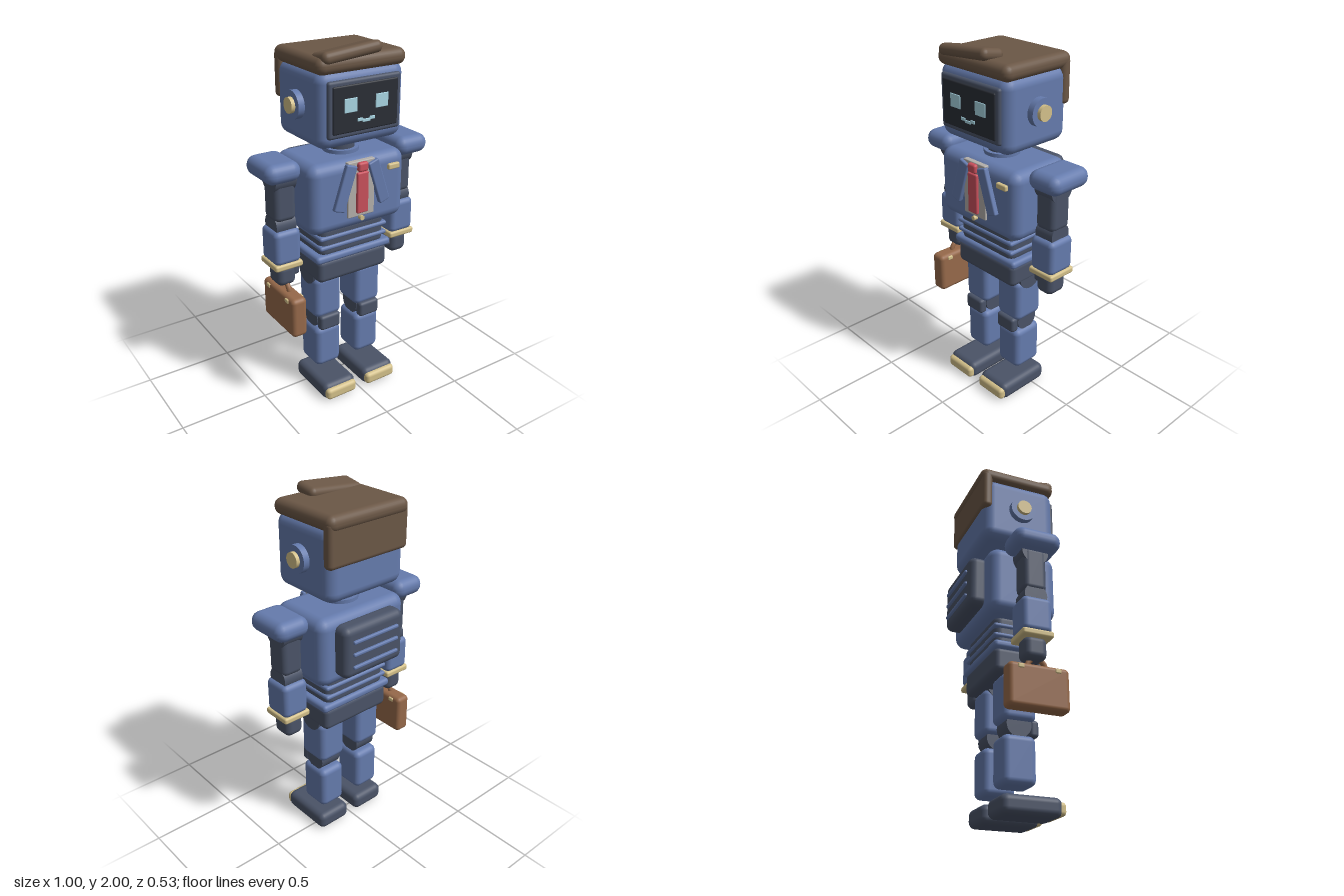
import * as THREE from 'three';
import { RoundedBoxGeometry } from 'three/addons/geometries/RoundedBoxGeometry.js';

const material = (color) => new THREE.MeshStandardMaterial({ color });
const BLUE = material(0x657bad), DARK = material(0x4a5367), GOLD = material(0xd3c08a);
const HAIR = material(0x6b5746), LEATHER = material(0x96694a), RED = material(0xc9505c);
const SCREEN = material(0x2a2e36), GLOW = material(0xa9d6e4), SHIRT = material(0xb3afab);

const CZ = 0.025; // depth of the body axis

// Rounded box given by its size and centre
function box(parent, name, mat, [w, h, d], [x, y, z], r = 0.03) {
  const radius = Math.min(r, Math.min(w, h, d) * 0.48);
  const mesh = new THREE.Mesh(new RoundedBoxGeometry(w, h, d, 3, radius), mat);
  mesh.name = name;
  mesh.position.set(x, y, z);
  parent.add(mesh);
  return mesh;
}

// Cylinder along the given axis
function cylinder(parent, name, mat, r, length, [x, y, z], axis = 'y') {
  const geo = new THREE.CylinderGeometry(r, r, length, 32);
  if (axis === 'x') geo.rotateZ(Math.PI / 2);
  if (axis === 'z') geo.rotateX(Math.PI / 2);
  const mesh = new THREE.Mesh(geo, mat);
  mesh.name = name;
  mesh.position.set(x, y, z);
  parent.add(mesh);
  return mesh;
}

function group(parent, name) {
  const g = new THREE.Group();
  g.name = name;
  parent.add(g);
  return g;
}

function buildHead(root) {
  const head = group(root, 'head');
  box(head, 'skull', BLUE, [0.51, 0.39, 0.425], [0, 1.69, 0.022], 0.06);

  // Face
  box(head, 'bezel', DARK, [0.43, 0.285, 0.04], [0, 1.697, 0.229], 0.015);
  box(head, 'screen', SCREEN, [0.385, 0.237, 0.02], [0, 1.697, 0.246], 0.008);
  for (const s of [-1, 1]) {
    box(head, 'eye', GLOW, [0.075, 0.07, 0.01], [s * 0.092, 1.716, 0.255], 0.003);
    box(head, 'mouthCorner', GLOW, [0.032, 0.017, 0.01], [s * 0.036, 1.637, 0.255], 0.003);
  }
  box(head, 'mouthMiddle', GLOW, [0.045, 0.016, 0.01], [0, 1.629, 0.255], 0.003);

  // Ears
  for (const s of [-1, 1]) {
    cylinder(head, 'earDisc', BLUE, 0.073, 0.06, [s * 0.26, 1.695, 0.027], 'x');
    cylinder(head, 'earCap', GOLD, 0.041, 0.04, [s * 0.29, 1.695, 0.027], 'x');
  }

  // Hair
  box(head, 'hairTop', HAIR, [0.52, 0.085, 0.45], [0, 1.908, 0.015], 0.04);
  box(head, 'hairBack', HAIR, [0.52, 0.24, 0.06], [0, 1.805, -0.172], 0.025);
  const quiff = box(head, 'quiff', HAIR, [0.345, 0.062, 0.14], [-0.063, 1.952, 0.178], 0.03);
  quiff.rotation.set(-0.18, 0, 0.09);

  // Neck
  cylinder(root, 'neck', DARK, 0.075, 0.14, [0, 1.46, 0.027]);
  cylinder(root, 'neckCollar', BLUE, 0.097, 0.05, [0, 1.41, 0.027]);
}

function buildTorso(root) {
  const torso = group(root, 'torso');
  box(torso, 'chest', BLUE, [0.59, 0.385, 0.385], [0, 1.2225, 0.0225], 0.06);

  // Shirt, lapels and tie
  box(torso, 'shirtFront', SHIRT, [0.165, 0.305, 0.03], [0, 1.255, 0.21], 0.005);
  for (const s of [-1, 1]) {
    const lapel = box(torso, 'lapel', BLUE, [0.066, 0.25, 0.03], [s * 0.104, 1.277, 0.226], 0.008);
    lapel.rotation.z = s * 0.32;
  }
  box(torso, 'tie', RED, [0.07, 0.225, 0.02], [0, 1.237, 0.232], 0.008);
  box(torso, 'tieKnot', RED, [0.06, 0.05, 0.03], [0, 1.378, 0.232], 0.012);
  cylinder(torso, 'button', GOLD, 0.013, 0.03, [0, 1.093, 0.223], 'z');
  box(torso, 'badge', GOLD, [0.072, 0.032, 0.025], [0.205, 1.337, 0.22], 0.008);

  // Backpack with slats
  box(torso, 'backpack', DARK, [0.41, 0.29, 0.11], [0, 1.235, -0.197], 0.04);
  for (const y of [1.3, 1.23, 1.157])
    box(torso, 'slat', BLUE, [0.31, 0.02, 0.025], [0, y, -0.253], 0.008);

  // Waist and pelvis
  box(torso, 'waist', DARK, [0.41, 0.19, 0.265], [0, 0.96, CZ], 0.04);
  for (const y of [0.985, 0.93])
    box(torso, 'waistRing', BLUE, [0.43, 0.025, 0.285], [0, y, CZ], 0.012);
  box(torso, 'belt', BLUE, [0.48, 0.045, 0.3], [0, 0.868, CZ], 0.02);
  box(torso, 'pelvis', DARK, [0.445, 0.135, 0.28], [0, 0.79, CZ], 0.03);
}

function buildArm(root, s) {
  const arm = group(root, s > 0 ? 'leftArm' : 'rightArm');
  const x = s * 0.37;
  box(arm, 'shoulderPad', BLUE, [0.2, 0.105, 0.265], [s * 0.4, 1.388, 0.022], 0.05);
  cylinder(arm, 'shoulderJoint', DARK, 0.075, 0.12, [x, 1.335, CZ], 'x');
  box(arm, 'upperArm', DARK, [0.125, 0.25, 0.13], [x, 1.23, CZ], 0.03);
  cylinder(arm, 'elbow', DARK, 0.063, 0.115, [x, 1.078, CZ], 'x');
  box(arm, 'forearm', BLUE, [0.155, 0.195, 0.165], [x, 0.963, CZ], 0.03);
  box(arm, 'cuff', GOLD, [0.165, 0.036, 0.172], [x, 0.857, CZ], 0.012);
  box(arm, 'hand', DARK, [0.11, 0.125, 0.125], [x, 0.79, CZ], 0.035);
  box(arm, 'thumb', DARK, [0.045, 0.07, 0.05], [s * 0.307, 0.806, 0.045], 0.018);
}

function buildLeg(root, s) {
  const leg = group(root, s > 0 ? 'leftLeg' : 'rightLeg');
  const x = s * 0.132;
  cylinder(leg, 'hipJoint', DARK, 0.075, 0.178, [x, 0.75, CZ], 'x');
  box(leg, 'thigh', BLUE, [0.17, 0.255, 0.186], [x, 0.602, CZ], 0.035);
  cylinder(leg, 'knee', DARK, 0.068, 0.13, [x, 0.46, CZ], 'x');
  box(leg, 'kneePad', DARK, [0.13, 0.09, 0.05], [x, 0.447, 0.112], 0.018);
  box(leg, 'shin', BLUE, [0.162, 0.255, 0.182], [x, 0.278, CZ], 0.035);
  box(leg, 'shoe', DARK, [0.21, 0.1, 0.325], [x + s * 0.002, 0.055, 0.078], 0.035);
  box(leg, 'toeCap', GOLD, [0.195, 0.07, 0.05], [x + s * 0.002, 0.05, 0.236], 0.022);
}

function buildBriefcase(root) {
  const bag = group(root, 'briefcase');
  const x = -0.37, z = 0.043;
  box(bag, 'case', LEATHER, [0.09, 0.23, 0.33], [x, 0.588, z], 0.025);
  const handle = new THREE.Mesh(new THREE.TorusGeometry(0.05, 0.014, 10, 20, Math.PI), LEATHER);
  handle.name = 'handle';
  handle.rotation.y = Math.PI / 2;
  handle.position.set(x, 0.695, z);
  bag.add(handle);
  for (const s of [-1, 1])
    box(bag, 'clasp', GOLD, [0.1, 0.024, 0.034], [x, 0.68, z + s * 0.1], 0.006);
}

export function createModel() {
  const root = new THREE.Group();
  root.name = 'robot';
  buildHead(root);
  buildTorso(root);
  for (const s of [-1, 1]) {
    buildArm(root, s);
    buildLeg(root, s);
  }
  buildBriefcase(root);
  return root;
}
